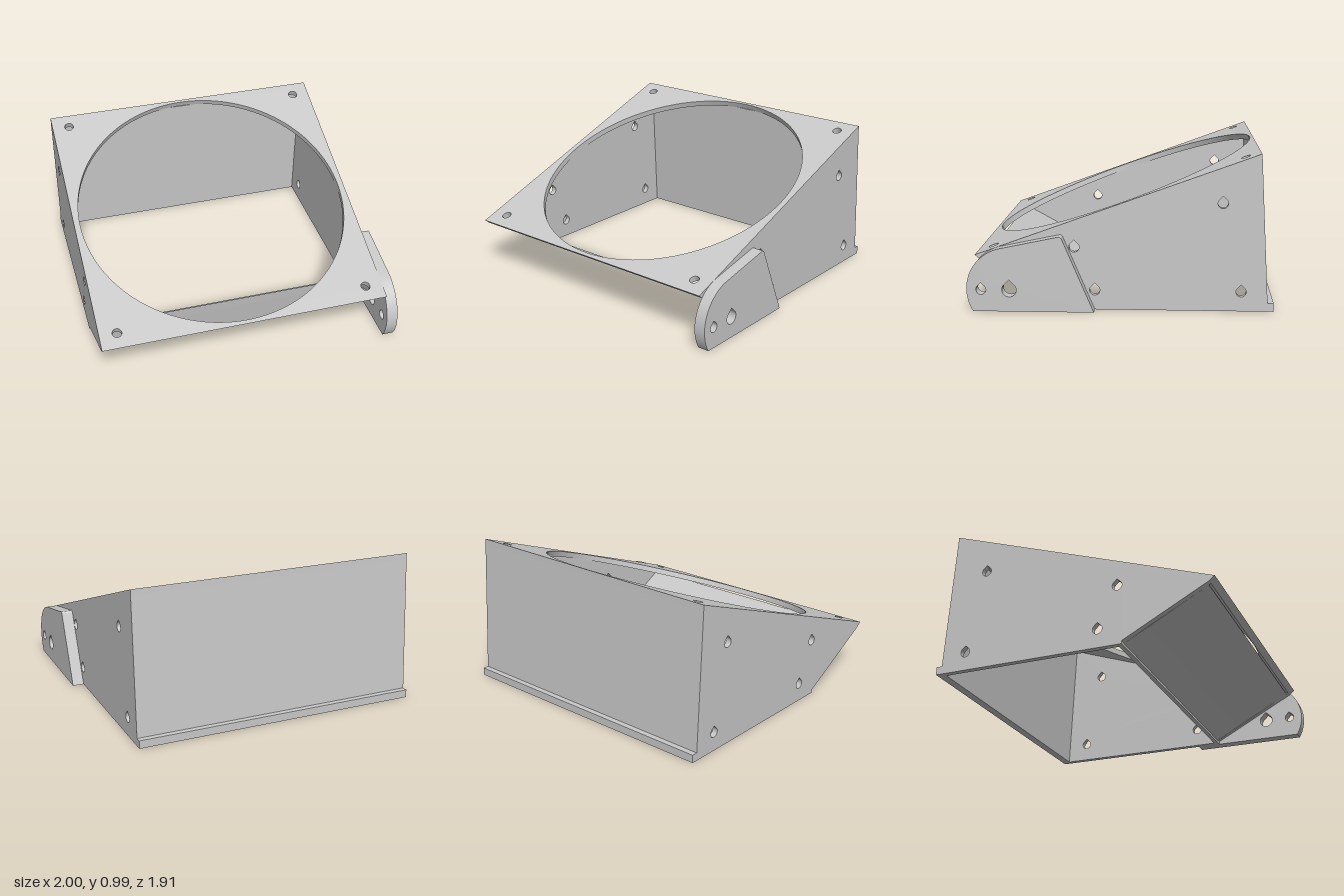
import * as THREE from 'three';

const X0 = -1, X1 = 0.924, WALL = 0.038, MID = (X0 + X1) / 2;
const TILT = THREE.MathUtils.degToRad(20);
const FRONT = { z: 0.913, y: 0.342 };            // top front edge of the plate
const T = 0.04, LEN = 1.892;                     // plate thickness and length
const S0 = 0.024, S1 = 1.8795;                   // extent of the plate's underside

const polygon = (pts) => new THREE.Shape(pts.map(([a, b]) => new THREE.Vector2(a, b)));

const circle = (x, y, r) => new THREE.Path().absarc(x, y, r, 0, Math.PI * 2, true);

// Point (z, y) on the underside of the plate, at distance s up the slope
const under = (s) => [
  FRONT.z - s * Math.cos(TILT) - T * Math.sin(TILT),
  FRONT.y + s * Math.sin(TILT) - T * Math.cos(TILT),
];

// Round hole with a pointed roof
function teardrop(z, y, r) {
  const k = r * Math.SQRT1_2;
  const p = new THREE.Path();
  p.moveTo(z, y + r * Math.SQRT2);
  p.lineTo(z - k, y + k);
  p.absarc(z, y, r, Math.PI * 0.75, Math.PI * 2.25, false);
  p.closePath();
  return p;
}

// Extrude a (z, y) outline along x, from xa to xb
function alongX(shape, xa, xb) {
  const g = new THREE.ExtrudeGeometry(shape, { depth: xb - xa, bevelEnabled: false, curveSegments: 32 });
  g.rotateY(-Math.PI / 2);
  g.translate(xb, 0, 0);
  return g;
}

export function createModel() {
  const group = new THREE.Group();
  const grey = new THREE.MeshStandardMaterial({ color: 0xc8c8c8, side: THREE.DoubleSide });
  grey.name = 'grey';
  const add = (name, geometry) => {
    const m = new THREE.Mesh(geometry, grey);
    m.name = name;
    group.add(m);
  };

  // Sloping top plate with the large bore and four corner holes
  const half = (X1 - X0) / 2;
  const top = polygon([[-half, S0], [half, S0], [half, S1], [-half, S1]]);
  top.holes.push(circle(0, 0.95, 0.922));
  for (const x of [-0.845, 0.845]) for (const s of [0.108, 1.793]) top.holes.push(circle(x, s, 0.031));
  const plate = new THREE.ExtrudeGeometry(top, { depth: T, bevelEnabled: false, curveSegments: 64 });
  // Widen the top face so both ends follow the front and back walls
  const p = plate.attributes.position;
  for (let i = 0; i < p.count; i++) {
    if (p.getZ(i) < T / 2) continue;
    if (Math.abs(p.getY(i) - S0) < 0.001) p.setY(i, 0);
    else if (Math.abs(p.getY(i) - S1) < 0.001) p.setY(i, LEN);
  }
  plate.computeVertexNormals();
  plate.translate(0, 0, -T);
  plate.rotateX(TILT - Math.PI / 2);
  plate.translate(MID, FRONT.y, FRONT.z);
  add('topPlate', plate);

  // Side walls with teardrop screw holes
  const side = polygon([[-0.92, 0], [0.32, 0], [0.32, 0.02], under(S0), under(S1)]);
  for (const [z, y] of [[-0.633, 0.682], [-0.752, 0.124], [0.16, 0.124], [0.288, 0.398]])
    side.holes.push(teardrop(z, y, 0.032));
  add('rightWall', alongX(side, X0, X0 + WALL));
  add('leftWall', alongX(side, X1 - WALL, X1));

  // Back wall and the lip along its foot
  const back = polygon([[-0.92, 0], [-0.9, 0], under(S1 - 0.012), under(S1)]);
  add('backWall', alongX(back, X0 + WALL, X1 - WALL));
  const lip = polygon([[-0.955, 0], [-0.92, 0], [-0.917, 0.053], [-0.955, 0.053]]);
  add('backLip', alongX(lip, X0, X1));

  // Inclined front wall, leaving a narrow slit below the plate
  const front = polygon([[0.29, 0], [0.32, 0], [0.32, 0.02], [0.864, 0.306], [0.848, 0.306]]);
  add('frontWall', alongX(front, X0 + WALL, X1 - WALL));

  // Mounting arm with a rounded nose on the left side
  const arm = new THREE.Shape();
  arm.moveTo(0.16, 0);
  arm.lineTo(0.915, 0);
  arm.absarc(0.69, 0.14, 0.265, -0.556, 1.36, false);
  arm.lineTo(0.38, 0.476);
  arm.quadraticCurveTo(0.365, 0.478, 0.358, 0.465);
  arm.closePath();
  arm.holes.push(teardrop(0.688, 0.138, 0.045), teardrop(0.864, 0.138, 0.031));
  add('mountingArm', alongX(arm, X1, 1));

  return group;
}
